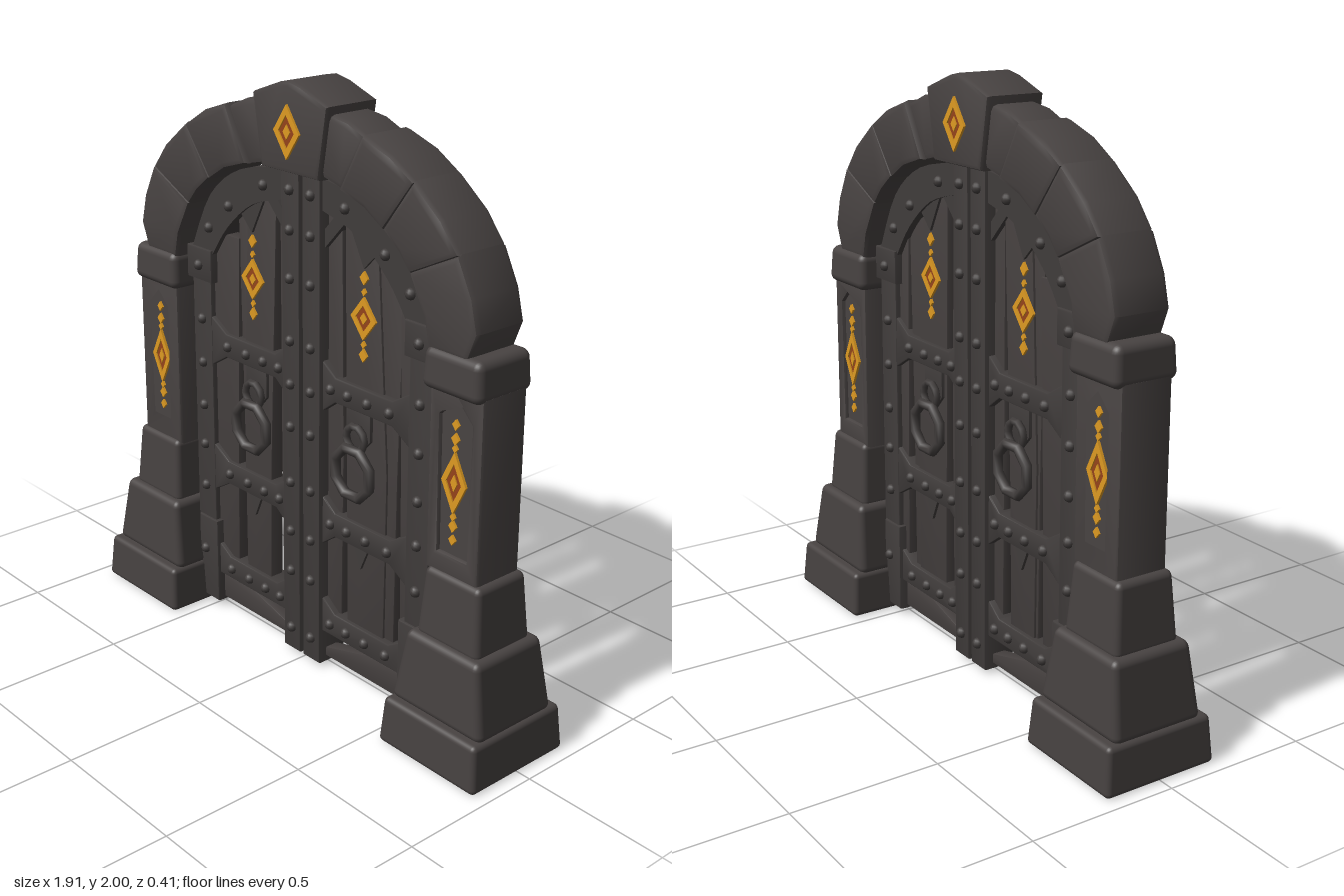
import * as THREE from 'three';
import { toCreasedNormals } from 'three/addons/utils/BufferGeometryUtils.js';
import { RoundedBoxGeometry } from 'three/addons/geometries/RoundedBoxGeometry.js';

const mat = (name, color) => Object.assign(new THREE.MeshStandardMaterial({ color }), { name });

export function createModel() {
  const root = new THREE.Group();
  root.name = 'archedGate';
  const stone = mat('stone', 0x484342);
  const timber = mat('timber', 0x443f3e);
  const iron = mat('iron', 0x403c3b);
  const gold = mat('gold', 0xdd9a22);
  const amber = mat('amber', 0x95431a);

  const add = (parent, name, geo, material, x = 0, y = 0, z = 0) => {
    const m = new THREE.Mesh(geo, material);
    m.name = name;
    m.position.set(x, y, z);
    parent.add(m);
    return m;
  };
  const group = (parent, name) => {
    const g = new THREE.Group();
    g.name = name;
    parent.add(g);
    return g;
  };

  // Outline extruded between z0 and z1, with bevels kept inside the outline
  const slab = (parent, name, pts, z0, z1, material, bevel = 0, hole = null) => {
    const shape = new THREE.Shape(pts.map(p => new THREE.Vector2(...p)));
    if (hole) shape.holes.push(new THREE.Path(hole.map(p => new THREE.Vector2(...p))));
    const geo = new THREE.ExtrudeGeometry(shape, {
      depth: z1 - z0 - 2 * bevel, bevelEnabled: bevel > 0, bevelSize: bevel,
      bevelThickness: bevel, bevelOffset: -bevel, bevelSegments: 2,
    });
    return add(parent, name, toCreasedNormals(geo, 0.7), material, 0, 0, z0 + bevel);
  };
  const rect = (x0, x1, y0, y1) => [[x0, y0], [x1, y0], [x1, y1], [x0, y1]];
  const diamond = (x, y, w, h) => [[x, y - h], [x + w, y], [x, y + h], [x - w, y]];

  // Rounded block that narrows towards its top
  const block = (parent, name, x, y0, y1, [wb, db], [wt, dt], r = 0.018) => {
    const h = y1 - y0;
    const geo = new RoundedBoxGeometry(wb, h, db, 3, r);
    const p = geo.attributes.position;
    for (let i = 0; i < p.count; i++) {
      const t = p.getY(i) / h + 0.5;
      p.setX(i, p.getX(i) * (1 + t * (wt / wb - 1)));
      p.setZ(i, p.getZ(i) * (1 + t * (dt / db - 1)));
    }
    add(parent, name, geo, stone, x, (y0 + y1) / 2);
  };

  // Diamond ornament with small studs, on both faces
  const ornament = (parent, x, y, w, h, z, studs) => {
    const g = group(parent, 'diamondOrnament');
    for (const f of [1, -1]) {
      const plate = (name, pts, lift, m, hole) => {
        const a = f * z, b = f * (z + lift);
        slab(g, name, pts, Math.min(a, b), Math.max(a, b), m, 0, hole);
      };
      plate('diamondFrame', diamond(x, y, w, h), 0.009, gold, diamond(x, y, w * 0.62, h * 0.62));
      plate('diamondInlay', diamond(x, y, w * 0.64, h * 0.64), 0.004, amber);
      plate('diamondCentre', diamond(x, y, w * 0.27, h * 0.27), 0.008, gold);
      for (const [dy, r] of studs) plate('ornamentStud', diamond(x, y + dy, r, r * 1.25), 0.008, gold);
    }
  };

  const rivet = new THREE.SphereGeometry(0.019, 10, 8);
  const link = new THREE.TorusGeometry(0.085, 0.018, 8, 8);
  const hanger = new THREE.TorusGeometry(0.042, 0.013, 6, 10);

  for (const s of [1, -1]) {
    const side = s > 0 ? 'left' : 'right';
    const mx = pts => pts.map(([x, y]) => [s * x, y]);

    // Pillar
    const pillar = group(root, side + 'Pillar');
    block(pillar, 'pillarPlinth', s * 0.748, 0, 0.16, [0.415, 0.41], [0.39, 0.385]);
    block(pillar, 'pillarFoot', s * 0.745, 0.15, 0.40, [0.385, 0.33], [0.30, 0.285], 0.025);
    block(pillar, 'pillarCollar', s * 0.742, 0.385, 0.62, [0.26, 0.24], [0.225, 0.205], 0.022);
    slab(pillar, 'pillarShaft', mx(rect(0.62, 0.834, 0.61, 1.21)), -0.092, 0.092, stone, 0.012,
      mx([[0.665, 0.68], [0.785, 0.68], [0.79, 1.12], [0.725, 1.185], [0.66, 1.12]]));
    slab(pillar, 'pillarPanel', mx(rect(0.64, 0.81, 0.63, 1.19)), -0.077, 0.077, stone);
    block(pillar, 'pillarCapital', s * 0.718, 1.195, 1.325, [0.24, 0.235], [0.225, 0.22], 0.028);
    ornament(pillar, s * 0.725, 0.92, 0.05, 0.1, 0.082,
      [[0.185, 0.014], [0.14, 0.016], [0.11, 0.011], [-0.11, 0.011], [-0.14, 0.016], [-0.185, 0.014]]);

    // Arch stones
    const arch = group(root, side + 'Arch');
    const stones = [
      [[0.61, 1.31], [0.77, 1.31], [0.805, 1.40], [0.78, 1.50], [0.722, 1.615], [0.525, 1.52], [0.59, 1.40]],
      [[0.527, 1.515], [0.722, 1.61], [0.65, 1.70], [0.535, 1.79], [0.41, 1.625], [0.48, 1.57]],
      [[0.412, 1.62], [0.54, 1.785], [0.44, 1.845], [0.32, 1.885], [0.22, 1.705], [0.33, 1.67]],
      [[0.222, 1.70], [0.325, 1.875], [0.24, 1.91], [0.13, 1.925], [0.10, 1.73]],
    ];
    stones.forEach((pts, i) => {
      const d = i === 3 ? 0.085 : 0.102;
      slab(arch, 'archStone', mx(pts), -d, d, stone, 0.02);
    });

    // Door leaf: stiles, curved head band and hinge plates
    const leaf = group(root, side + 'DoorLeaf');
    slab(leaf, 'meetingStile', mx(rect(0.008, 0.092, 0.015, 1.72)), -0.058, 0.058, iron, 0.006);
    slab(leaf, 'hingeStile', mx(rect(0.485, 0.585, 0.04, 1.34)), -0.045, 0.045, iron, 0.006);
    slab(leaf, 'upperHingePlate', mx(rect(0.47, 0.602, 1.24, 1.355)), -0.055, 0.055, iron, 0.006);
    slab(leaf, 'lowerHingePlate', mx(rect(0.468, 0.572, 0.025, 0.345)), -0.055, 0.055, iron, 0.006);
    const outer = new THREE.SplineCurve([[0.585, 1.34], [0.475, 1.55], [0.31, 1.665], [0.08, 1.71]]
      .map(p => new THREE.Vector2(...p))).getPoints(12);
    const inner = new THREE.SplineCurve([[0.08, 1.61], [0.25, 1.56], [0.385, 1.455], [0.472, 1.34]]
      .map(p => new THREE.Vector2(...p))).getPoints(12);
    slab(leaf, 'headBand', mx([...outer, ...inner].map(p => [p.x, p.y])), -0.045, 0.045, iron);

    // Worn planks: bottom x0, x1, top x0, x1, top height
    const planks = s > 0
      ? [[0.08, 0.16, 0.08, 0.152, 1.66], [0.2, 0.37, 0.175, 0.32, 1.58], [0.34, 0.41, 0.32, 0.43, 1.49], [0.45, 0.495, 0.425, 0.495, 1.42]]
      : [[0.08, 0.14, 0.08, 0.145, 1.66], [0.2, 0.33, 0.155, 0.3, 1.58], [0.32, 0.34, 0.29, 0.36, 1.53], [0.38, 0.495, 0.35, 0.495, 1.42]];
    planks.forEach(([a, b, c, d, top], i) => {
      const t = 0.018 + (i % 2) * 0.008;
      slab(leaf, 'plank', mx([[a, 0.15], [b, 0.15], [b + 0.005, 0.8], [d, top], [c, top], [a - 0.01, 0.7]]), -t, t, timber, 0.004);
    });
    slab(leaf, 'bottomBoard', mx([[0.08, 0.035], [0.48, 0.035], [0.48, 0.125], [0.3, 0.125], [0.08, 0.065]]), -0.025, 0.025, timber, 0.004);

    // Cross rails with flared ends
    for (const y of [0.18, 0.555, 1.03]) {
      const h = 0.042, e = 0.09;
      const down = y < 0.2 ? h : e;
      slab(leaf, 'crossRail', mx([[0.085, y - down], [0.15, y - h], [0.41, y - h], [0.49, y - down],
        [0.49, y + e], [0.41, y + h], [0.15, y + h], [0.085, y + e]]), -0.042, 0.042, iron, 0.005);
    }
    // Corner braces and pointed plates
    slab(leaf, 'headBrace', mx([[0.085, 1.48], [0.19, 1.59], [0.15, 1.61], [0.085, 1.54]]), -0.035, 0.035, iron);
    slab(leaf, 'upperSpike', mx([[0.21, 1.575], [0.27, 1.46], [0.33, 1.52], [0.3, 1.57]]), -0.035, 0.035, iron);
    slab(leaf, 'lowerSpike', mx([[0.235, 0.52], [0.27, 0.44], [0.305, 0.52]]), -0.036, 0.036, iron);
    slab(leaf, 'ringPlate', mx([[0.2, 1.0], [0.2, 0.9], [0.255, 0.84], [0.31, 0.9], [0.31, 1.0]]), -0.038, 0.038, iron, 0.005);
    ornament(leaf, s * 0.27, 1.3, 0.056, 0.07, 0.028,
      [[0.13, 0.018], [0.085, 0.01], [-0.085, 0.01], [-0.12, 0.018]]);

    // Rivets and ring handles on both faces
    const spots = [];
    for (const y of [0.1, 0.32, 0.47, 0.65, 0.85, 1.0, 1.15, 1.36, 1.52, 1.65]) spots.push([0.05, y, 0.058]);
    for (const y of [0.22, 1.295]) spots.push([0.535, y, 0.055]);
    for (const y of [0.47, 0.63, 0.78, 0.94, 1.1]) spots.push([0.535, y, 0.045]);
    for (const y of [0.18, 0.555, 1.03]) for (const x of [0.13, 0.21, 0.3, 0.4]) spots.push([x, y, 0.042]);
    spots.push([0.485, 1.435, 0.045], [0.375, 1.53, 0.045], [0.195, 1.635, 0.045]);
    for (const f of [1, -1]) {
      for (const [x, y, z] of spots) add(leaf, 'rivet', rivet, iron, s * x, y, f * z);
      add(leaf, 'ringHandle', link, iron, s * 0.255, 0.785, f * 0.062).rotation.z = Math.PI / 8;
      add(leaf, 'ringHanger', hanger, iron, s * 0.255, 0.9, f * 0.05);
    }
  }

  // Keystone
  const keystone = group(root, 'keystone');
  slab(keystone, 'keystoneBlock', [[-0.135, 1.715], [0.135, 1.715], [0.175, 1.945], [0.05, 1.99], [0, 2], [-0.05, 1.99], [-0.175, 1.945]],
    -0.106, 0.106, stone, 0.016);
  ornament(keystone, 0, 1.845, 0.06, 0.085, 0.105, []);

  return root;
}
